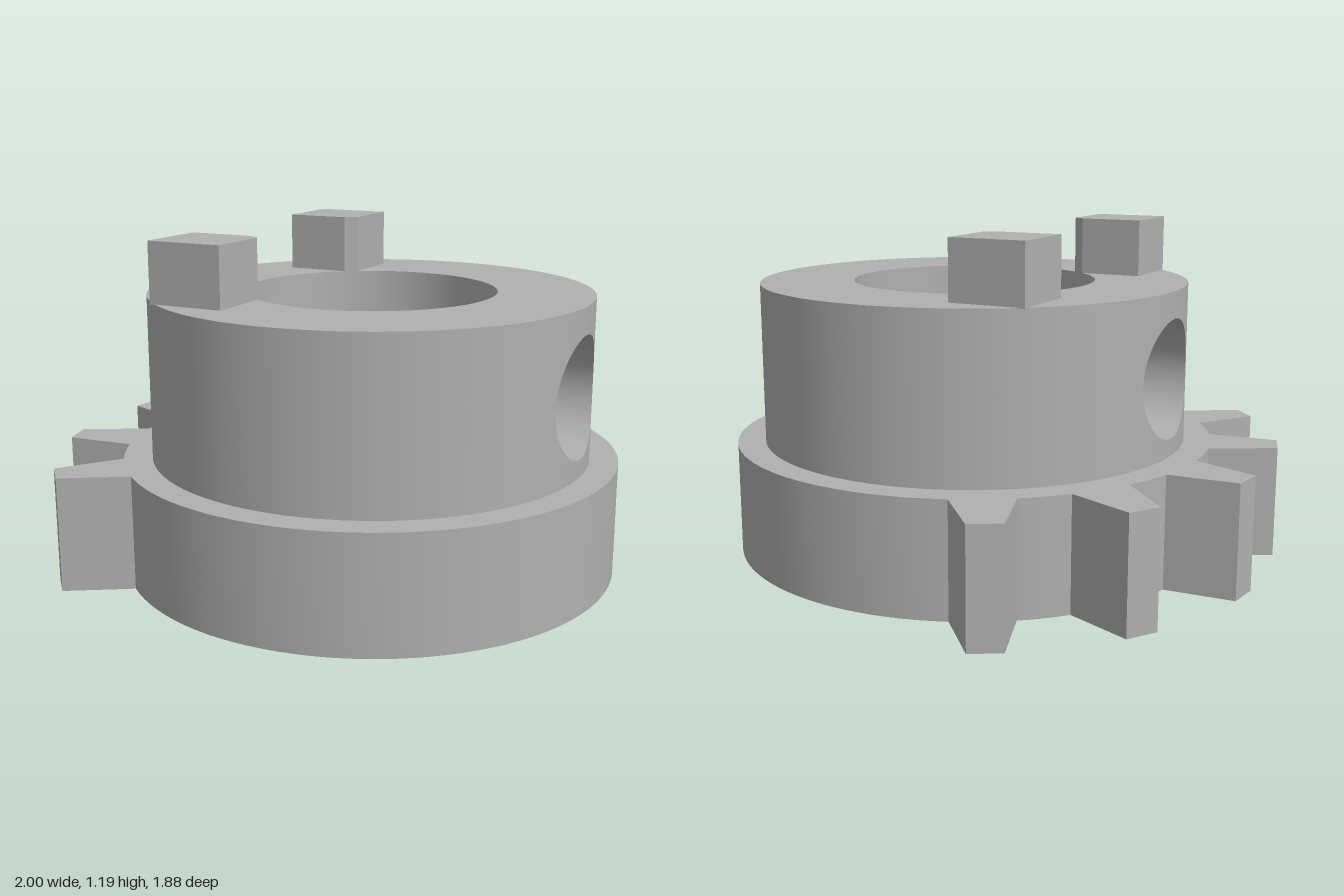
import * as THREE from 'three';
import { mergeGeometries, toCreasedNormals } from 'three/addons/utils/BufferGeometryUtils.js';

const RIM = 0.8825, HUB = 0.782, BORE = 0.444, TIP = 1.12;
const BASE_TOP = 0.404, HUB_TOP = 0.985, DOG_TOP = 1.193;
const HOLE_R = 0.211, HOLE_Y = 0.678, PATCH = 0.66;

// Grid surface; at(u, v) gives [position, normal], faces are wound to match the normals
function surface(nu, nv, at) {
  const pos = [], nor = [], index = [];
  for (let j = 0; j <= nv; j++) {
    for (let i = 0; i <= nu; i++) {
      const [p, n] = at(i / nu, j / nv);
      pos.push(...p.toArray());
      nor.push(...n.toArray());
    }
  }
  const vec = (list, i) => new THREE.Vector3().fromArray(list, i * 3);
  const tri = (a, b, c) => {
    const pa = vec(pos, a);
    const face = vec(pos, b).sub(pa).cross(vec(pos, c).sub(pa));
    if (face.dot(vec(nor, a)) >= 0) index.push(a, b, c);
    else index.push(a, c, b);
  };
  for (let j = 0; j < nv; j++) {
    for (let i = 0; i < nu; i++) {
      const a = j * (nu + 1) + i, b = a + 1, c = a + nu + 1, d = c + 1;
      tri(a, b, d);
      tri(a, d, c);
    }
  }
  const g = new THREE.BufferGeometry();
  g.setAttribute('position', new THREE.Float32BufferAttribute(pos, 3));
  g.setAttribute('normal', new THREE.Float32BufferAttribute(nor, 3));
  g.setIndex(index);
  return g;
}

// Point on an upright cylinder; facing is 1 for outside walls and -1 for the bore
const onWall = (r, a, y, facing) => [
  new THREE.Vector3(r * Math.cos(a), y, r * Math.sin(a)),
  new THREE.Vector3(Math.cos(a) * facing, 0, Math.sin(a) * facing),
];

// One cylindrical hub wall, pierced on the +x and -x sides
function piercedWall(r, facing) {
  const parts = [];
  for (const turn of [0, Math.PI]) {
    // patch stretched from the round hole out to a rectangle
    parts.push(surface(64, 8, (u, v) => {
      const t = u * Math.PI * 2, c = Math.cos(t), s = Math.sin(t);
      const k = 1 / Math.max(Math.abs(c), Math.abs(s));
      const h = s > 0 ? HUB_TOP - HOLE_Y : HOLE_Y - BASE_TOP;
      const a = THREE.MathUtils.lerp(Math.asin(HOLE_R * c / r), PATCH * c * k, v);
      const y = HOLE_Y + THREE.MathUtils.lerp(HOLE_R * s, h * s * k, v);
      return onWall(r, turn + a, y, facing);
    }));
    // plain arc up to the next patch
    parts.push(surface(32, 1, (u, v) => onWall(
      r, turn + PATCH + u * (Math.PI - 2 * PATCH),
      THREE.MathUtils.lerp(BASE_TOP, HUB_TOP, v), facing)));
  }
  return mergeGeometries(parts);
}

// Lining of the cross hole between the bore and the outside wall
function tunnel(side) {
  return surface(64, 1, (u, v) => {
    const t = u * Math.PI * 2, z = HOLE_R * Math.cos(t);
    const r = v ? HUB : BORE;
    return [
      new THREE.Vector3(side * Math.sqrt(r * r - z * z), HOLE_Y + HOLE_R * Math.sin(t), z),
      new THREE.Vector3(0, -Math.sin(t), -Math.cos(t)),
    ];
  });
}

// Upright prism from a plan drawn as (x, -z)
function prism(shape, y0, y1) {
  const g = new THREE.ExtrudeGeometry(shape, { depth: y1 - y0, bevelEnabled: false, curveSegments: 96 });
  g.rotateX(-Math.PI / 2).translate(0, y0, 0);
  return toCreasedNormals(g, 0.3);
}

// Disc outline with five tapered teeth on one side
function gearShape() {
  const pts = [], rad = THREE.MathUtils.degToRad;
  const first = rad(180 - 59.75), step = rad(25.71), half = Math.asin(0.108 / RIM);
  const arc = (from, to, n) => {
    for (let i = 0; i <= n; i++) {
      const a = from + (to - from) * i / n;
      pts.push(new THREE.Vector2(RIM * Math.cos(a), RIM * Math.sin(a)));
    }
  };
  for (let i = 0; i < 5; i++) {
    const a = first + i * step;
    for (const w of [-0.058, 0.058]) {
      pts.push(new THREE.Vector2(TIP, w).rotateAround(new THREE.Vector2(), a));
    }
    if (i < 4) arc(a + half, a + step - half, 4);
    else arc(a + half, first + Math.PI * 2 - half, 72);
  }
  const shape = new THREE.Shape(pts);
  shape.holes.push(new THREE.Path().absarc(0, 0, BORE, 0, Math.PI * 2, true));
  return shape;
}

// Square drive dog whose inner corner is cut by the bore
function dogShape(side) {
  const x0 = -0.511, x1 = -0.238, z0 = 0.344, z1 = 0.608;
  const pts = [[x0, z0], [x0, z1], [x1, z1]];
  const from = Math.acos(x1 / BORE), to = Math.PI - Math.asin(z0 / BORE);
  for (let i = 0; i <= 4; i++) {
    const a = from + (to - from) * i / 4;
    pts.push([BORE * Math.cos(a), BORE * Math.sin(a)]);
  }
  return new THREE.Shape(pts.map(([x, z]) => new THREE.Vector2(x, z * side)));
}

export function createModel() {
  const model = new THREE.Group();
  model.name = 'toothedCollar';
  const metal = new THREE.MeshStandardMaterial({ color: 0xb0b0b0 });
  metal.name = 'grey metal';
  const body = new THREE.Group();
  body.name = 'body';
  body.position.set(0.115, 0, 0.0535);
  model.add(body);
  const add = (name, geometry) => {
    const mesh = new THREE.Mesh(geometry, metal);
    mesh.name = name;
    body.add(mesh);
  };

  // Toothed base
  add('toothedBase', prism(gearShape(), 0, BASE_TOP));

  // Hub with a cross hole
  add('hubOuterWall', piercedWall(HUB, 1));
  add('hubBore', piercedWall(BORE, -1));
  add('hubTop', new THREE.RingGeometry(BORE, HUB, 96).rotateX(-Math.PI / 2).translate(0, HUB_TOP, 0));
  add('leftCrossHole', tunnel(1));
  add('rightCrossHole', tunnel(-1));

  // Drive dogs on top
  add('backDog', prism(dogShape(1), HUB_TOP - 0.003, DOG_TOP));
  add('frontDog', prism(dogShape(-1), HUB_TOP - 0.003, DOG_TOP));
  return model;
}
